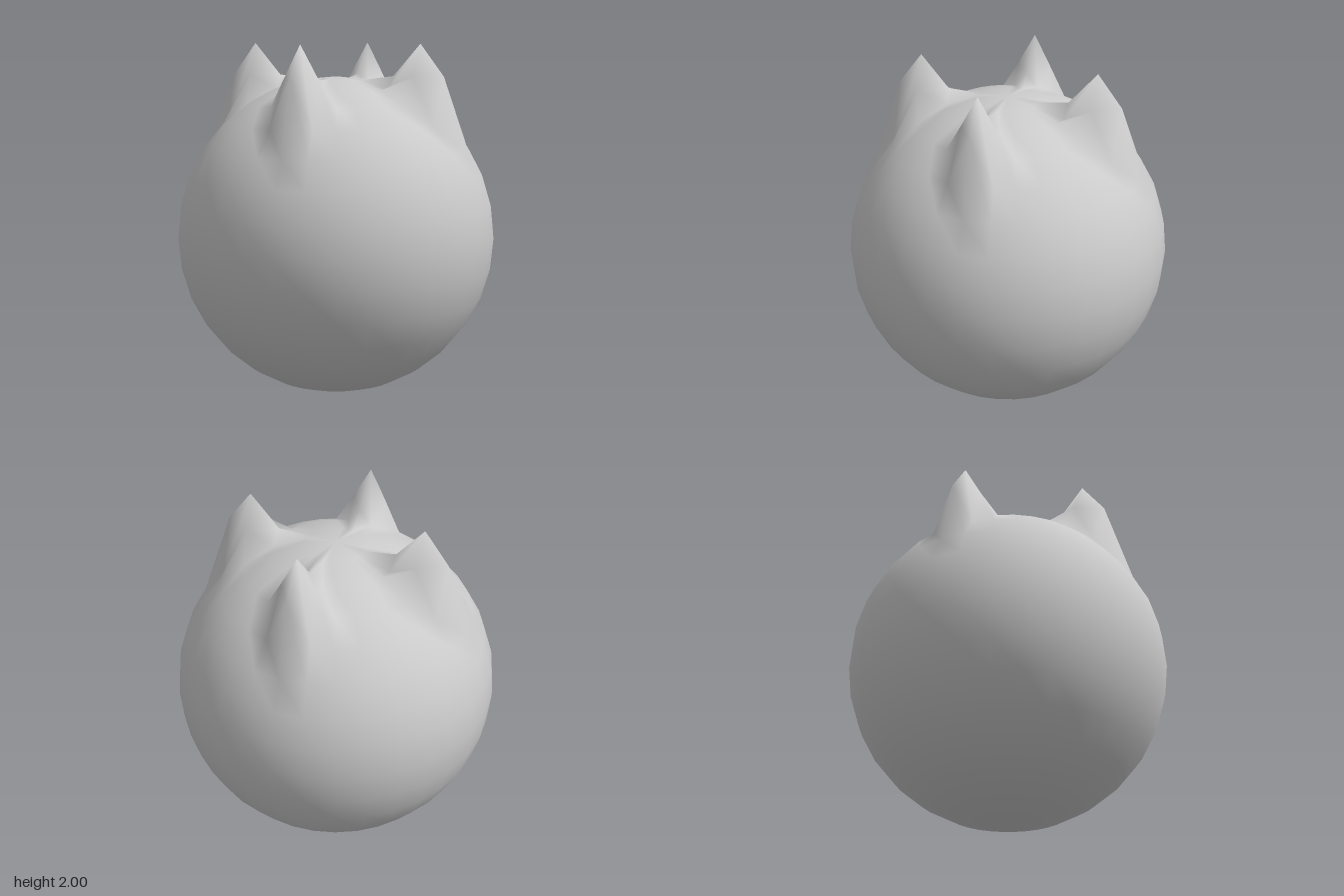
import * as THREE from 'three';
import { mergeVertices } from 'three/addons/utils/BufferGeometryUtils.js';

const R = 0.907, RINGS = 16, SECTORS = 32;

// Point on the ball grid: ring counted from the top, sector counted around
function gridPoint(ring, sector) {
  const polar = ring * Math.PI / RINGS, turn = sector * 2 * Math.PI / SECTORS;
  return new THREE.Vector3(
    R * Math.sin(polar) * Math.cos(turn),
    R + R * Math.cos(polar),
    R * Math.sin(polar) * Math.sin(turn));
}

export function createModel() {
  const group = new THREE.Group();
  group.name = 'spikedBall';

  // Smooth ball standing on the ground, welded along the seam and poles
  let geometry = new THREE.SphereGeometry(R, SECTORS, RINGS).translate(0, R, 0);
  geometry.deleteAttribute('normal');
  geometry.deleteAttribute('uv');
  geometry = mergeVertices(geometry, 1e-4);
  const pos = geometry.attributes.position;

  // Raise the grid vertex that lies at the given ring and sector
  const pull = [];
  for (let i = 0; i < 4; i++) {
    const s = i * SECTORS / 4;
    pull.push([gridPoint(3, s), 2.0]); // spike tip
    for (const [ring, sector] of [[2, s], [4, s], [3, s - 1], [3, s + 1]]) {
      pull.push([gridPoint(ring, sector), 1.82]); // spike shoulder
    }
  }
  const v = new THREE.Vector3();
  for (let i = 0; i < pos.count; i++) {
    v.fromBufferAttribute(pos, i);
    const hit = pull.find(([p]) => p.distanceTo(v) < 1e-3);
    if (hit) pos.setY(i, hit[1]);
  }
  geometry.computeVertexNormals();

  const body = new THREE.Mesh(geometry, new THREE.MeshStandardMaterial({ color: 0xcccccc }));
  body.name = 'ballWithFourSpikes';
  group.add(body);
  return group;
}
